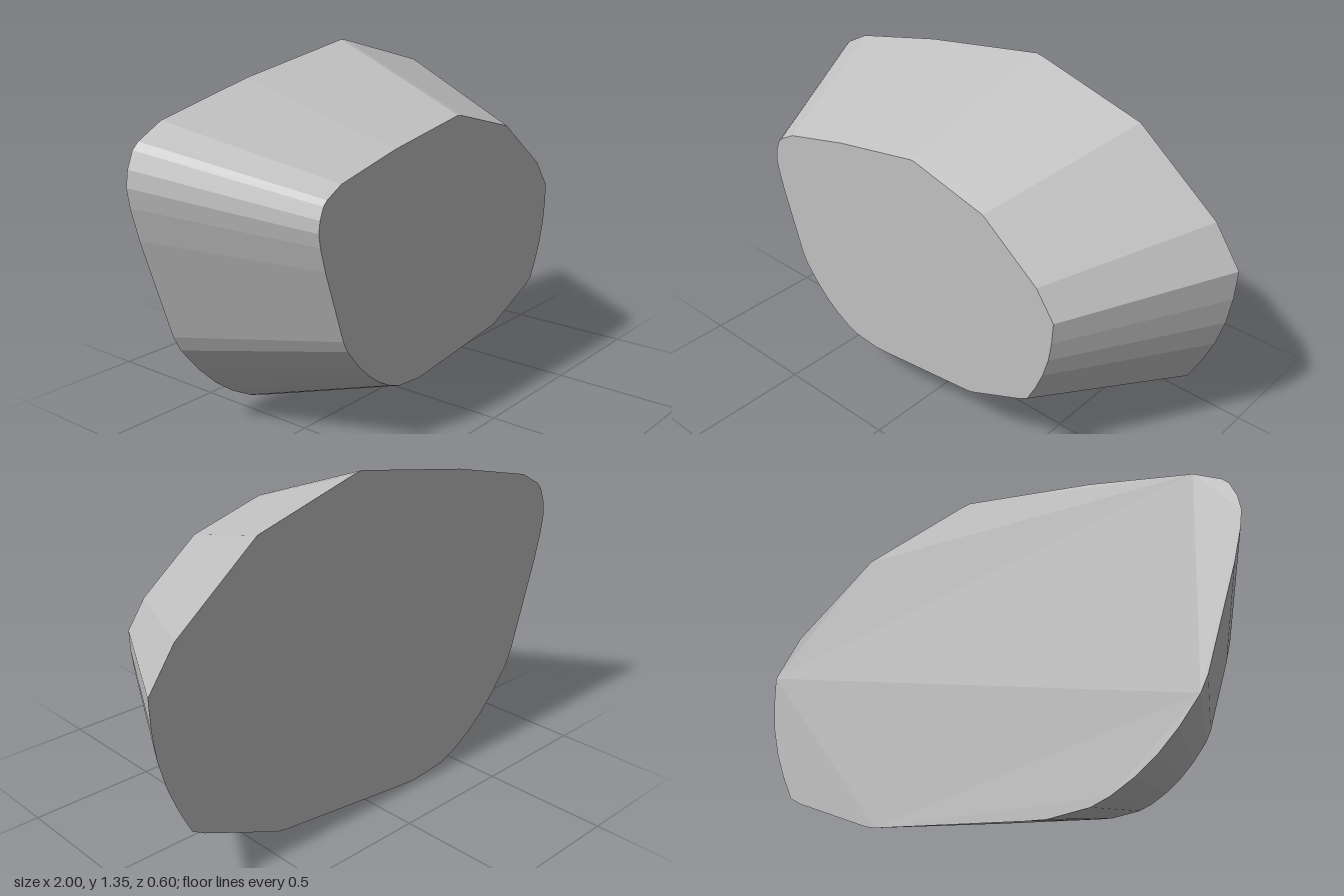
import * as THREE from 'three';

// Back outline, counter-clockwise from the peak
const outline = [
  [0.08, 1.345], [-0.44, 1.255], [-0.84, 1.16], [-0.94, 1.105], [-0.965, 1.08],
  [-0.99, 1.02], [-1, 0.96], [-0.99, 0.89], [-0.96, 0.77], [-0.84, 0.39], [-0.81, 0.33],
  [-0.73, 0.23], [-0.65, 0.15], [-0.57, 0.09], [-0.48, 0.04], [-0.41, 0.015],
  [-0.25, 0], [-0.17, 0.007], [0.45, 0.08], [0.49, 0.09], [0.81, 0.23], [0.86, 0.26],
  [0.91, 0.36], [0.95, 0.46], [0.98, 0.57], [0.995, 0.68], [1, 0.8],
  [0.89, 0.955], [0.55, 1.22], [0.11, 1.34],
];

export function createModel() {
  const group = new THREE.Group();
  group.name = 'facetedStone';
  const stoneGrey = new THREE.MeshStandardMaterial({ color: 0xc0c0c0 });
  stoneGrey.name = 'stoneGrey';

  const shape = new THREE.Shape(outline.map(([x, y]) => new THREE.Vector2(x, y)));
  const geometry = new THREE.ExtrudeGeometry(shape, { depth: 0.6, bevelEnabled: false });
  geometry.translate(0, 0, -0.3);

  // Shrink the front outline so the walls taper
  const p = geometry.attributes.position;
  for (let i = 0; i < p.count; i++) {
    if (p.getZ(i) > 0) p.setXY(i, p.getX(i) * 0.7 - 0.036, p.getY(i) * 0.7 + 0.18);
  }
  geometry.computeVertexNormals();

  const stone = new THREE.Mesh(geometry, stoneGrey);
  stone.name = 'taperedStone';
  group.add(stone);
  return group;
}
